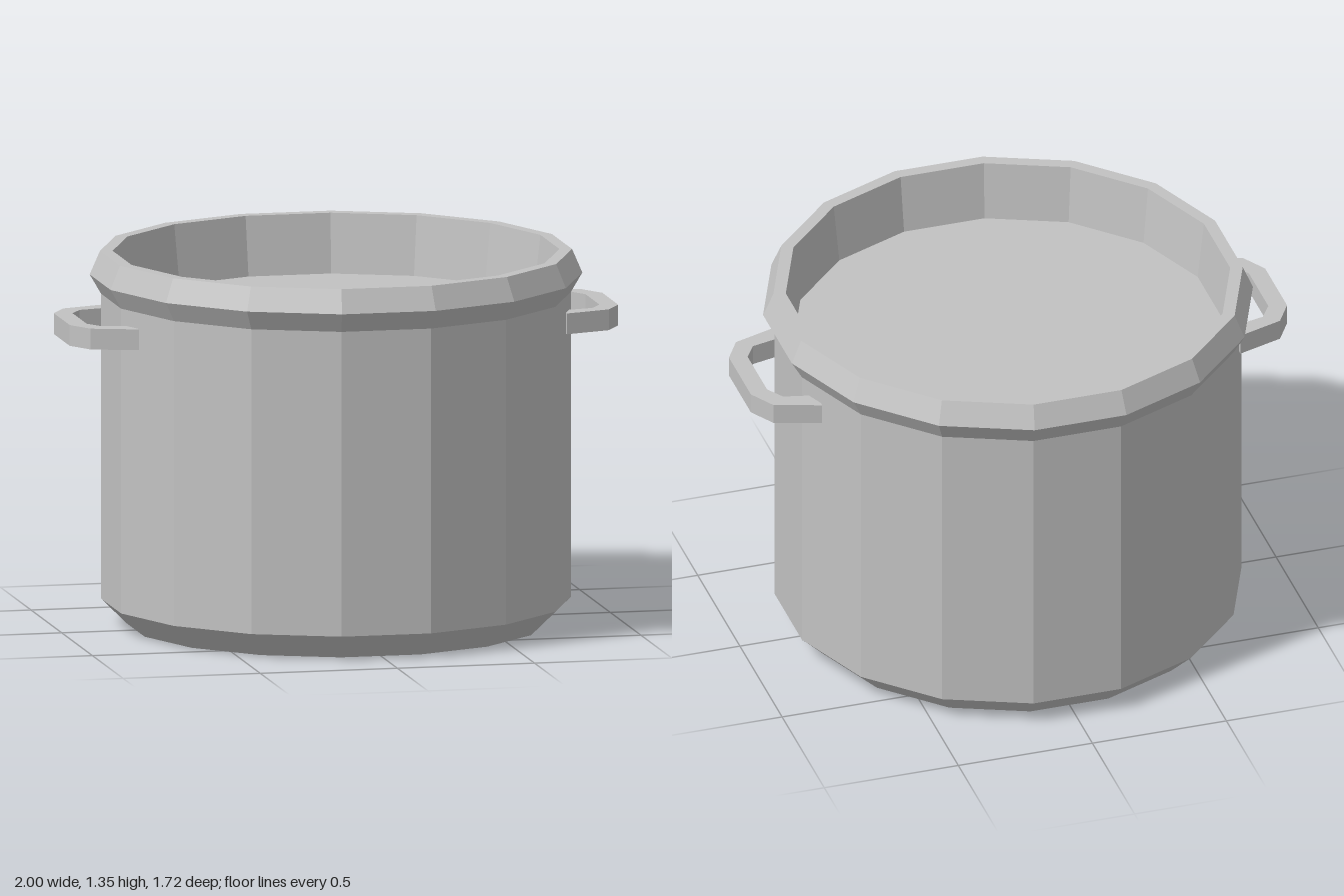
import * as THREE from 'three';

const SIDES = 16;

// Flat-sided ring of revolution; widths are measured to the middle of a side
function facetedLathe(profile, material, name) {
  const points = profile.map(([w, y]) => new THREE.Vector2(w / Math.cos(Math.PI / SIDES), y));
  const mesh = new THREE.Mesh(new THREE.LatheGeometry(points, SIDES, Math.PI / SIDES), material);
  mesh.name = name;
  return mesh;
}

export function createModel() {
  const metal = new THREE.MeshStandardMaterial({ color: 0xc2c2c2, flatShading: true });
  metal.name = 'grey metal';
  const pot = new THREE.Group();
  pot.name = 'pot';

  // Body with a chamfered foot
  pot.add(facetedLathe([[0, 0], [0.73, 0], [0.82, 0.09], [0.82, 1.19]], metal, 'body'));
  // Flared rim, turning over into the inner wall
  pot.add(facetedLathe(
    [[0.82, 1.19], [0.86, 1.26], [0.824, 1.345], [0.78, 1.345], [0.755, 1.13]], metal, 'rim'));
  // Flat surface inside the rim
  pot.add(facetedLathe([[0.755, 1.13], [0, 1.13]], metal, 'innerFloor'));

  // Loop handles, outlined from above: outer edge, then inner edge back
  const outer = [[0.78, 0.276], [0.945, 0.222], [1, 0.13]];
  const inner = [[0.78, 0.205], [0.895, 0.178], [0.935, 0.115]];
  const bothSides = (edge) => [...edge, ...edge.map(([x, z]) => [x, -z]).reverse()];
  const outline = [...bothSides(outer), ...bothSides(inner).reverse()];
  const shape = new THREE.Shape(outline.map(([x, z]) => new THREE.Vector2(x, z)));
  const handleGeometry = new THREE.ExtrudeGeometry(shape, { depth: 0.075, bevelEnabled: false });
  handleGeometry.rotateX(-Math.PI / 2).translate(0, 1.057, 0);
  ['leftHandle', 'rightHandle'].forEach((name, i) => {
    const handle = new THREE.Mesh(handleGeometry, metal);
    handle.name = name;
    handle.rotation.y = i * Math.PI;
    pot.add(handle);
  });

  return pot;
}
